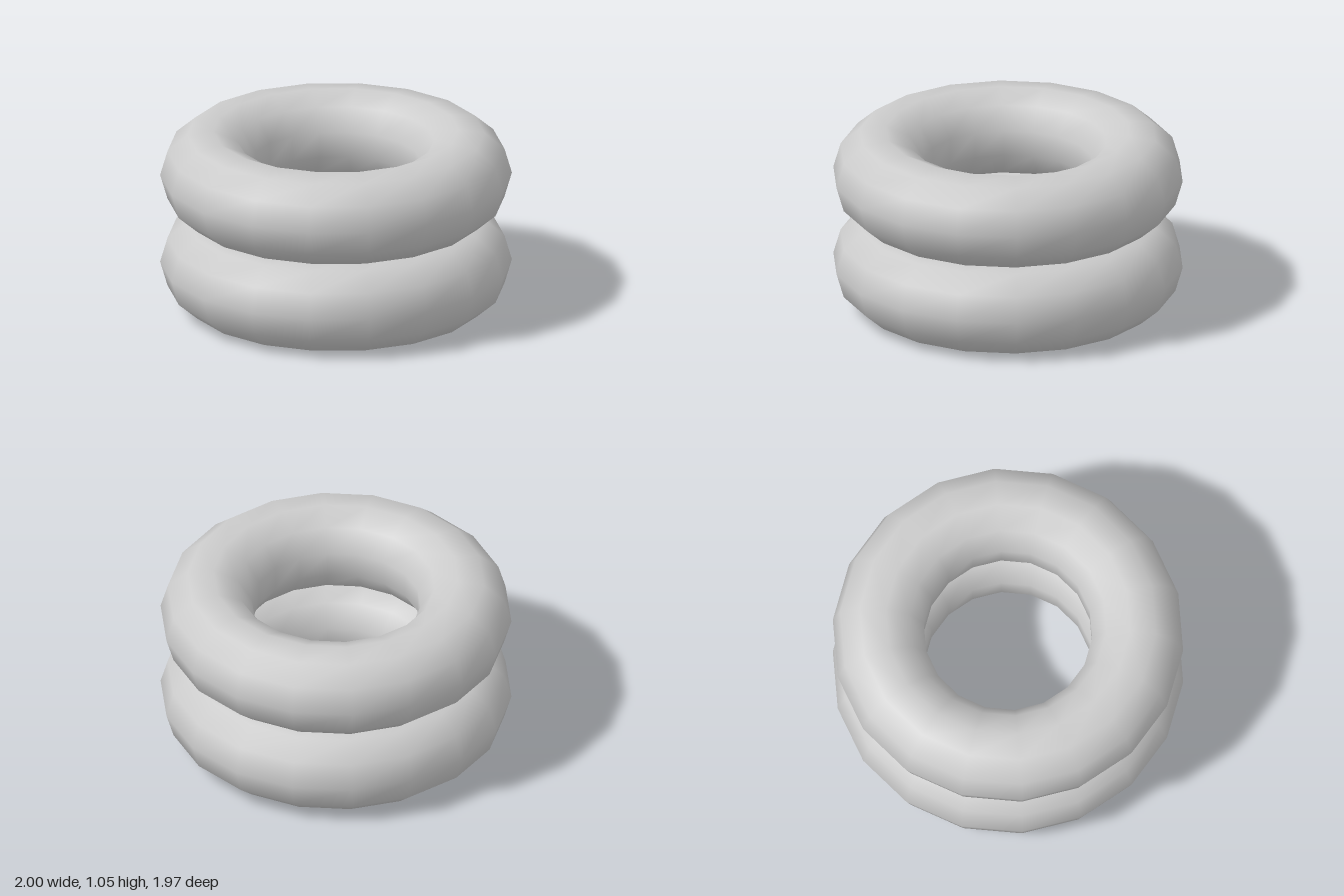
import * as THREE from 'three';

export function createModel() {
  const model = new THREE.Group();
  const material = new THREE.MeshStandardMaterial({ color: 0xcccccc });

  // One smooth ring with an 11-sided section, laid flat
  const ringRadius = 0.735, tubeRadius = 0.265;
  const ring = new THREE.TorusGeometry(ringRadius, tubeRadius, 11, 18);
  ring.rotateX(-Math.PI / 2);
  ring.computeBoundingBox();
  const halfHeight = ring.boundingBox.max.y;

  // Two rings stacked so that they just touch
  ['lowerRing', 'upperRing'].forEach((name, i) => {
    const mesh = new THREE.Mesh(ring, material);
    mesh.name = name;
    mesh.position.y = halfHeight * (2 * i + 1);
    model.add(mesh);
  });

  return model;
}
